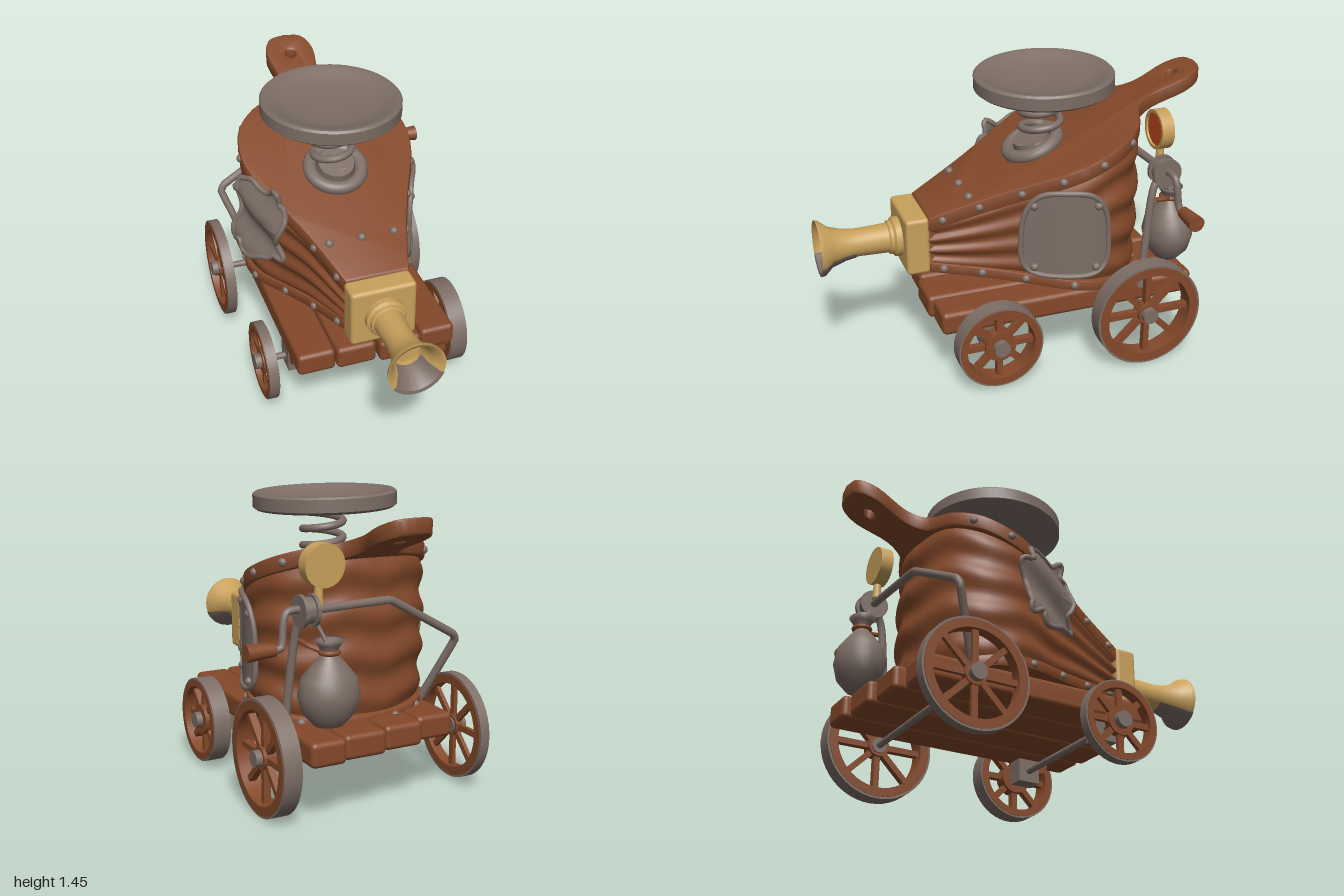
import * as THREE from 'three';
import { toCreasedNormals } from 'three/addons/utils/BufferGeometryUtils.js';
import { RoundedBoxGeometry } from 'three/addons/geometries/RoundedBoxGeometry.js';

const V = (x, y, z) => new THREE.Vector3(x, y, z);
const paint = (name, color) => new THREE.MeshStandardMaterial({ name, color, side: THREE.DoubleSide });

export function createModel() {
  const model = new THREE.Group();
  const brown = paint('brown wood and leather', 0x84492a);
  const grey = paint('dull iron', 0x7d6e66);
  const gold = paint('brass', 0xc8a05c);
  const orange = paint('gauge face', 0xc64a20);
  const CX = -0.05; // centre line of the bellows

  const add = (name, geo, mat, pos = [0, 0, 0], parent = model) => {
    const m = new THREE.Mesh(geo, mat);
    m.name = name;
    m.position.set(...pos);
    parent.add(m);
    return m;
  };
  const lathe = (pts, seg = 40, ...phi) => toCreasedNormals(
    new THREE.LatheGeometry(pts.map(p => new THREE.Vector2(...p)), seg, ...phi), 0.7);
  const tube = (pts, r, closed = false, tension = 0.5, seg = 64) => new THREE.TubeGeometry(
    new THREE.CatmullRomCurve3(pts.map(p => V(...p)), closed, 'catmullrom', tension), seg, r, 10, closed);
  const deform = (geo, rule) => {
    const p = geo.attributes.position, v = V(0, 0, 0);
    for (let i = 0; i < p.count; i++) {
      rule(v.fromBufferAttribute(p, i));
      p.setXYZ(i, v.x, v.y, v.z);
    }
    geo.computeVertexNormals();
    return geo;
  };

  // Plan outlines as [half width, z], front to back
  const sides = [[0.155, 0.47], [0.25, 0.2], [0.34, 0], [0.415, -0.16], [0.44, -0.3], [0.405, -0.45], [0.3, -0.56]];
  const halfPlan = tail => new THREE.CatmullRomCurve3([...sides, ...tail].map(([x, z]) => V(x, 0, z))).getPoints(48);
  const mirrored = half => [...half, ...half.slice(0, -1).reverse().map(p => V(-p.x, 0, p.z))];
  const bodyHalf = halfPlan([[0.15, -0.62], [0, -0.635]]);
  const paddleHalf = halfPlan([[0.15, -0.63], [0.105, -0.72], [0.123, -0.9], [0.085, -0.98], [0, -1]]);
  const halfWidth = z => {
    const i = Math.max(1, bodyHalf.findIndex(p => p.z <= z));
    const a = bodyHalf[i - 1], b = bodyHalf[i];
    return a.x + (b.x - a.x) * (z - a.z) / (b.z - a.z);
  };
  const topY = z => 0.975 - 0.4 * z, bottomY = z => 0.49 + 0.13 * z;

  // Sloping boards
  const board = (name, half, thick, yAt, hole) => {
    const shape = new THREE.Shape(mirrored(half).map(p => new THREE.Vector2(p.x, -p.z)));
    if (hole) shape.holes.push(new THREE.Path().absarc(0, 0.875, 0.035, 0, Math.PI * 2));
    const b = 0.012;
    const geo = new THREE.ExtrudeGeometry(shape, {
      depth: thick - 2 * b, bevelThickness: b, bevelSize: b, bevelOffset: -b / 2, bevelSegments: 2, curveSegments: 16 });
    geo.translate(0, 0, b - thick / 2).rotateX(-Math.PI / 2);
    add(name, toCreasedNormals(deform(geo, v => { v.y += yAt(v.z); }), 0.6), brown, [CX, 0, 0]);
  };
  board('topBoard', paddleHalf, 0.08, topY, true);
  board('bottomBoard', bodyHalf, 0.06, bottomY, false);

  // Pleated leather between the boards
  const loop = mirrored(bodyHalf), rows = 36, n = loop.length, pos = [], idx = [];
  for (let r = 0; r <= rows; r++) {
    const t = r / rows;
    loop.forEach((p, i) => {
      const s = 0.965 + 0.03 * Math.sin(Math.PI * t) - 0.024 * Math.cos(t * Math.PI * 8 + 0.5 * Math.sin(i * 0.4));
      pos.push(p.x * s, bottomY(p.z) + (topY(p.z) - bottomY(p.z)) * t, -0.15 + (p.z + 0.15) * s);
      if (r < rows && i < n - 1) {
        const a = r * n + i, b = a + n;
        idx.push(a, a + 1, b, a + 1, b + 1, b);
      }
    });
  }
  const leather = new THREE.BufferGeometry();
  leather.setAttribute('position', new THREE.Float32BufferAttribute(pos, 3));
  leather.setIndex(idx);
  leather.computeVertexNormals();
  add('pleatedLeather', leather, brown, [CX, 0, 0]);

  // Rivets
  const rivetGeo = new THREE.SphereGeometry(0.022, 12, 8);
  const rivet = (x, y, z) => add('rivet', rivetGeo, grey, [x, y, z]);
  for (const s of [-1, 1]) {
    for (const z of [0.41, 0.24, 0.05, -0.13, -0.32, -0.49]) rivet(CX + s * halfWidth(z), topY(z), z);
    for (const z of [0.41, 0.23, 0.03, -0.19, -0.4, -0.55]) rivet(CX + s * halfWidth(z), bottomY(z), z);
  }
  for (const x of [-0.22, -0.055, 0.11]) rivet(x, topY(0.27) + 0.04, 0.27);
  for (const x of [-0.2, 0.1]) rivet(x, bottomY(-0.62), -0.625);

  // Side patches that follow the leather
  const patch = (name, side, zc, yc, rz, ry, radius, lift) => {
    const place = (u, v) => {
      const z = zc + rz * u;
      return V(CX + side * (halfWidth(z) + lift(u, v)), yc + ry * v, z);
    };
    const edge = a => {
      const c = Math.cos(a), s = Math.sin(a), k = radius(a);
      return [Math.sign(c) * Math.abs(c) ** 0.62 * k, Math.sign(s) * Math.abs(s) ** 0.62 * k];
    };
    const geo = deform(new THREE.RingGeometry(0.001, 1, 48, 8), v => {
      const [u, w] = edge(Math.atan2(v.y, v.x)), d = Math.hypot(v.x, v.y);
      v.copy(place(u * d, w * d));
    });
    add(name, geo, grey);
    const rim = [];
    for (let i = 0; i < 48; i++) rim.push(place(...edge(i / 48 * Math.PI * 2)).toArray());
    add(name + 'Rim', tube(rim, 0.014, true, 0.5, 96), grey);
    return place;
  };
  const onPlate = patch('ironPlate', 1, -0.145, 0.74, 0.205, 0.225, a => 1 - 0.04 * Math.sin(3 * a), () => 0.018);
  for (const [u, v] of [[-0.72, 0.72], [0.72, 0.72], [-0.7, -0.75], [0.7, -0.75]]) rivet(...onPlate(u, v).toArray());
  patch('tornPatch', -1, -0.1, 0.87, 0.18, 0.21, a => 0.92 + 0.09 * Math.sin(7 * a) + 0.06 * Math.cos(11 * a),
    (u, v) => 0.045 + 0.022 * Math.sin(5 * v + 2 * u) - 0.02 * v);

  // Nozzle
  add('nozzleBlock', new RoundedBoxGeometry(0.33, 0.3, 0.12, 3, 0.02), gold, [-0.055, 0.67, 0.53]);
  const nozzle = [[0.1, 0.585], [0.1, 0.62], [0.085, 0.63], [0.085, 0.645], [0.075, 0.65], [0.07, 0.8], [0.078, 0.87],
    [0.1, 0.94], [0.135, 0.98], [0.14, 1], [0.125, 0.995], [0.09, 0.94], [0.075, 0.88], [0.075, 0.85], [0, 0.85]];
  add('nozzle', lathe(nozzle).rotateX(Math.PI / 2), gold, [-0.055, 0.67, 0]);
  const soot = [[0.075, 0.82], [0.082, 0.87], [0.104, 0.94], [0.139, 0.98], [0.143, 1.001], [0.125, 0.999], [0.086, 0.94], [0.071, 0.88]];
  add('nozzleSoot', lathe(soot, 20, -0.9, 2.1).rotateX(Math.PI / 2), grey, [-0.055, 0.67, 0]);

  // Spring seat, coil and dish
  const base = new THREE.Group();
  base.name = 'springBase';
  base.position.set(-0.055, topY(-0.12) + 0.055, -0.12);
  base.rotation.x = Math.atan(0.4);
  model.add(base);
  add('springRing', new THREE.TorusGeometry(0.13, 0.035, 12, 40).rotateX(Math.PI / 2), grey, [0, 0, 0], base);
  add('springCollar', new THREE.CylinderGeometry(0.09, 0.1, 0.06, 32), grey, [0, 0.01, 0], base);
  const coil = [];
  for (let i = 0; i <= 60; i++) {
    const a = i / 60 * Math.PI * 7;
    coil.push([-0.055 + 0.098 * Math.sin(a), 1.08 + 0.285 * i / 60, -0.165 + 0.098 * Math.cos(a)]);
  }
  add('spring', tube(coil, 0.019, false, 0.5, 240), grey);
  const dish = add('dish', lathe([[0, -0.042], [0.335, -0.042], [0.35, -0.03], [0.35, 0.03], [0.34, 0.04], [0.315, 0.04],
    [0.29, 0.02], [0.2, 0], [0, -0.012]], 56), grey, [-0.055, 1.407, -0.18]);
  dish.rotation.set(0.02, 0, -0.02);

  // Cart planks
  [[-0.357, 0.195, 0.48, -0.74], [-0.153, 0.205, 0.49, -0.79], [0.07, 0.22, 0.51, -0.82], [0.275, 0.18, 0.49, -0.85]]
    .forEach(([x, w, z0, z1]) => add('plank', new RoundedBoxGeometry(w, 0.12, z0 - z1, 3, 0.025), brown, [x, 0.36, (z0 + z1) / 2]));

  // Axles and wheels
  const rod = (r, len) => new THREE.CylinderGeometry(r, r, len, 20).rotateZ(Math.PI / 2);
  add('rearAxle', rod(0.017, 1.06), grey, [-0.07, 0.285, -0.555]);
  add('frontAxle', rod(0.017, 0.98), grey, [-0.07, 0.24, 0.225]);
  for (const x of [-0.408, 0.295]) {
    add('axleBracket', new THREE.BoxGeometry(0.085, 0.13, 0.12), grey, [x, 0.245, 0.225]);
    add('axleBlock', rod(0.05, 0.07), brown, [x, 0.29, 0.29]);
  }
  const ring = (r0, r1, w) => lathe([[r0, -w / 2], [r1, -w / 2], [r1, w / 2], [r0, w / 2], [r0, -w / 2]], 48).rotateZ(Math.PI / 2);
  const wheel = (name, x, y, z, R, w, hubR) => {
    const g = new THREE.Group(), s = Math.sign(x);
    g.name = name;
    g.position.set(x, y, z);
    model.add(g);
    add('tyre', ring(R * 0.95, R, w), grey, [0, 0, 0], g);
    add('rim', ring(R * 0.8, R * 0.96, w + 0.006), brown, [0, 0, 0], g);
    add('hub', rod(hubR, w * 0.75), brown, [0, 0, 0], g);
    add('hubCap', rod(0.04, w * 0.75 + 0.04), grey, [s * 0.012, 0, 0], g);
    for (let i = 0; i < 8; i++) {
      const spoke = add('spoke', new THREE.BoxGeometry(w * 0.4, R * 0.84, 0.03).translate(0, R * 0.42, 0), brown, [0, 0, 0], g);
      spoke.rotation.x = i * Math.PI / 4;
    }
  };
  wheel('frontLeftWheel', 0.42, 0.24, 0.225, 0.218, 0.09, 0.08);
  wheel('rearLeftWheel', 0.45, 0.285, -0.555, 0.28, 0.09, 0.055);
  wheel('frontRightWheel', -0.56, 0.235, 0.22, 0.2, 0.05, 0.07);
  wheel('rearRightWheel', -0.588, 0.287, -0.56, 0.265, 0.05, 0.055);

  // Rear pipe frame
  add('pipeFrame', tube([[0.3, 0.985, -0.69], [-0.14, 0.985, -0.66], [-0.52, 0.775, -0.625], [-0.54, 0.74, -0.615],
    [-0.42, 0.4, -0.48]], 0.02, false, 0.05), grey);
  add('pipePost', tube([[0.31, 0.97, -0.66], [0.33, 0.85, -0.61], [0.36, 0.38, -0.56]], 0.02), grey);

  // Pulley and crank
  add('pulley', ring(0.03, 0.06, 0.05), grey, [0.31, 0.985, -0.685]);
  for (const s of [-1, 1]) add('pulleyCheek', ring(0.01, 0.075, 0.018), grey, [0.31 + s * 0.03, 0.985, -0.685]);
  add('crankArm', tube([[0.27, 0.985, -0.685], [0.385, 0.995, -0.69], [0.425, 0.965, -0.695], [0.44, 0.86, -0.705],
    [0.46, 0.832, -0.71], [0.53, 0.832, -0.712]], 0.018), grey);
  add('crankGrip', new THREE.CylinderGeometry(0.03, 0.041, 0.14, 20).rotateZ(Math.PI / 2), brown, [0.55, 0.832, -0.712]);

  // Pressure gauge
  add('gaugeCase', lathe([[0, -0.033], [0.1, -0.033], [0.1, 0.033], [0.084, 0.033], [0.084, 0.018], [0, 0.018]])
    .rotateX(Math.PI / 2), gold, [0.233, 1.183, -0.685]);
  add('gaugeFace', new THREE.CircleGeometry(0.084, 36), orange, [0.233, 1.183, -0.663]);
  add('gaugeNeck', new THREE.CylinderGeometry(0.018, 0.024, 0.09, 16), gold, [0.25, 1.05, -0.685]);

  // Hanging sack
  const sack = add('sack', new THREE.LatheGeometry([[0, 0.46], [0.07, 0.47], [0.125, 0.53], [0.147, 0.61], [0.13, 0.69], [0.08, 0.75],
    [0.042, 0.79], [0.036, 0.805], [0.055, 0.84], [0.075, 0.865], [0.05, 0.86], [0, 0.83]].map(p => new THREE.Vector2(...p)), 36),
  grey, [0.235, 0, -0.76]);
  sack.scale.z = 0.86;
  add('sackTie', new THREE.TorusGeometry(0.04, 0.012, 8, 24).rotateX(Math.PI / 2), brown, [0.235, 0.805, -0.76]);
  add('sackCord', tube([[0.27, 0.81, -0.735], [0.31, 0.83, -0.7], [0.32, 0.84, -0.64]], 0.012), brown);
  add('sackHook', tube([[0.235, 0.83, -0.75], [0.26, 0.9, -0.72], [0.3, 0.985, -0.69]], 0.01), grey);
  return model;
}
